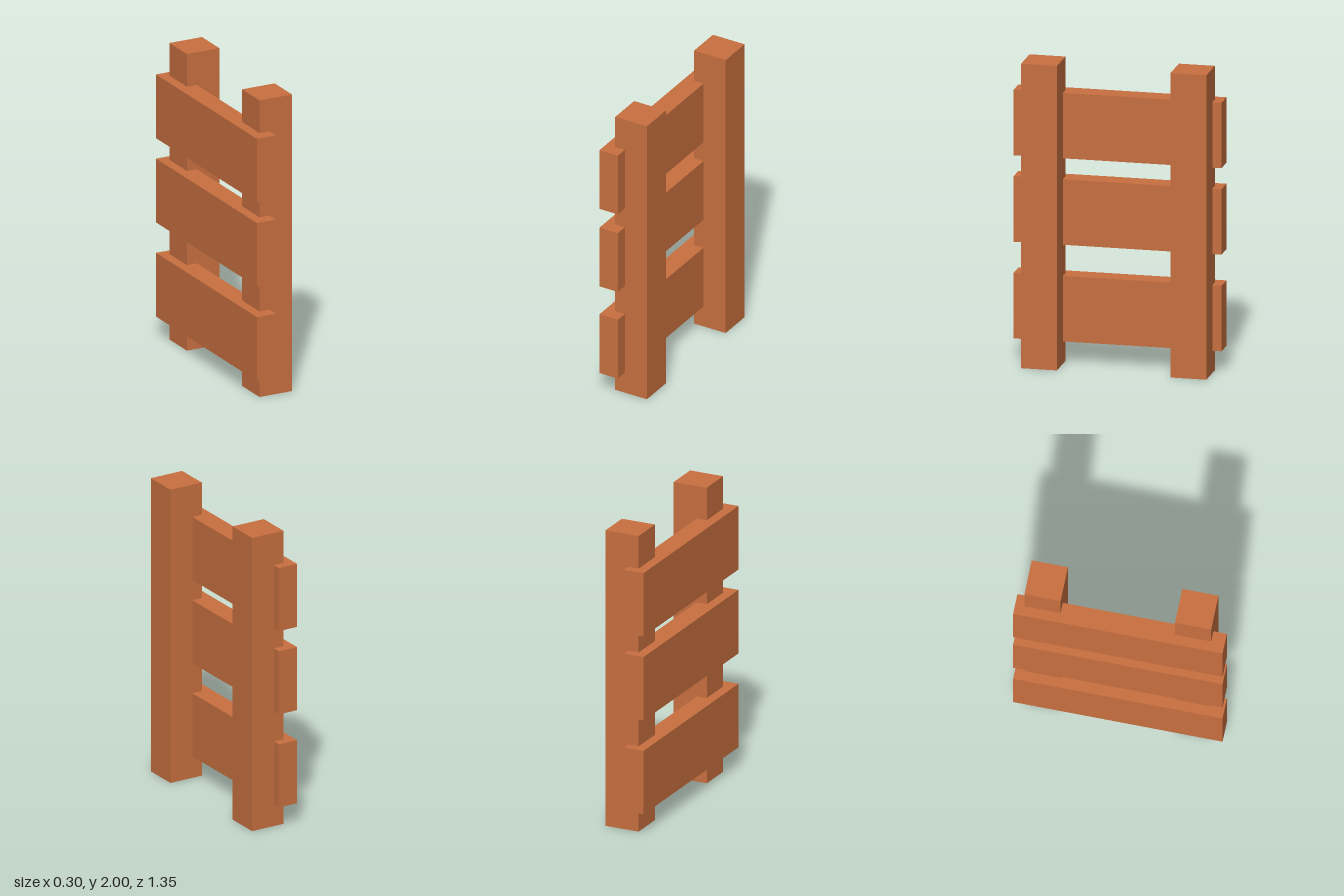
import * as THREE from 'three';

export function createModel() {
  const group = new THREE.Group();
  const wood = new THREE.MeshStandardMaterial({ color: 0xc87040 });
  wood.name = 'orange brown wood';

  function addBox(name, size, position) {
    const mesh = new THREE.Mesh(new THREE.BoxGeometry(...size), wood);
    mesh.name = name;
    mesh.position.set(...position);
    group.add(mesh);
  }

  // Two square upright posts
  [['frontPost', 0.473], ['backPost', -0.5]].forEach(([name, z]) =>
    addBox(name, [0.234, 2, 0.234], [0.032, 1, z]));

  // Three wide boards let into the posts
  [['lowerBoard', 0.362], ['middleBoard', 0.997], ['upperBoard', 1.565]].forEach(([name, y]) =>
    addBox(name, [0.136, 0.43, 1.354], [-0.082, y, 0]));

  return group;
}
